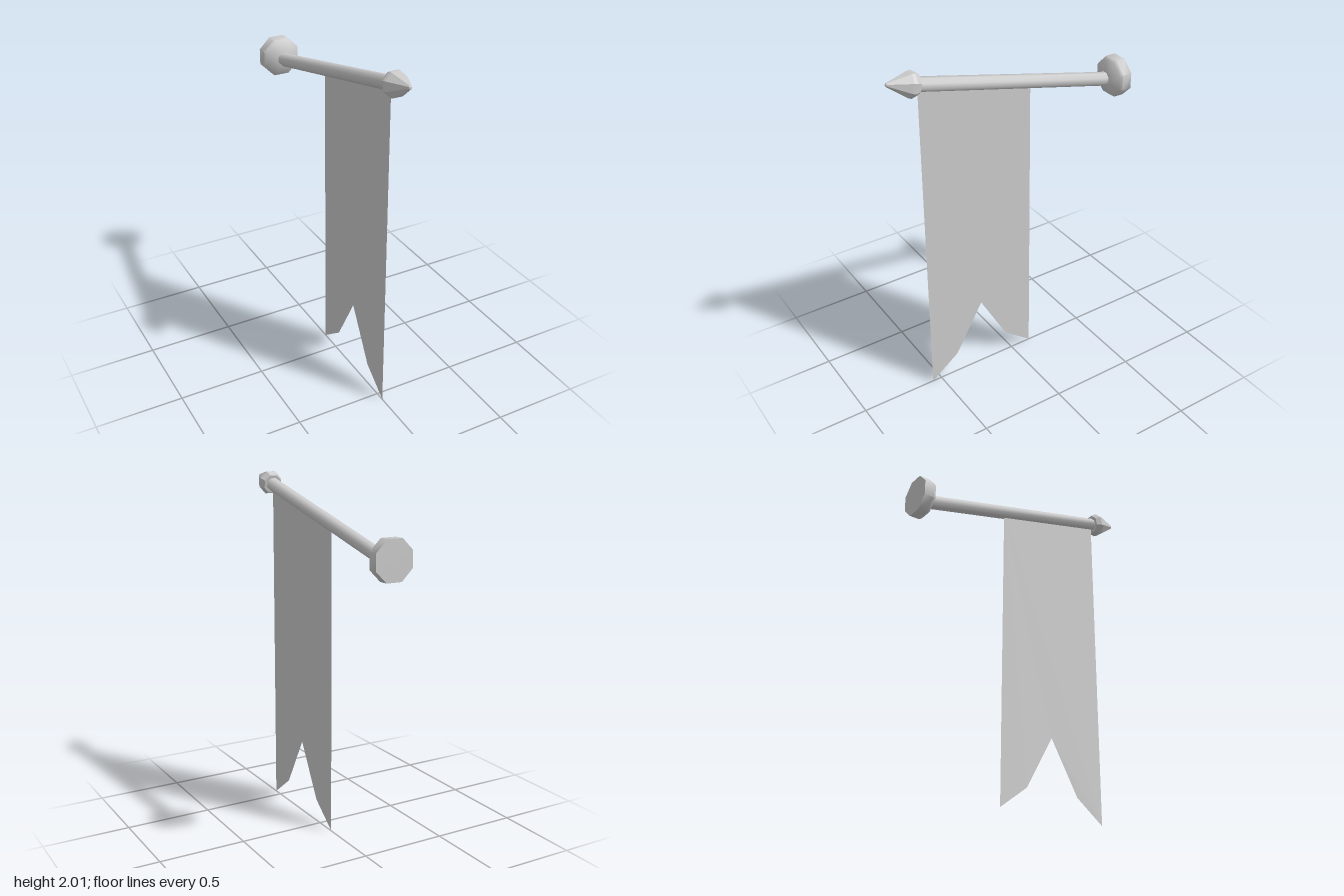
import * as THREE from 'three';
import { toCreasedNormals } from 'three/addons/utils/BufferGeometryUtils.js';

const SIDES = 8;
const SLOPE = 0.237;          // rise of the pole per unit of z
const BEND_Z = -0.605;        // where the pole turns upwards
const AXIS_Y = 1.66;          // height of the wall mount
const poleY = z => AXIS_Y + SLOPE * Math.max(0, z - BEND_Z);

// Octagonal turned form along +z; profile is [half width across flats, z]
function turned(profile) {
  const k = 1 / Math.cos(Math.PI / SIDES);
  const points = profile.map(([r, z]) => new THREE.Vector2(r * k, z));
  return new THREE.LatheGeometry(points, SIDES, Math.PI / SIDES).rotateX(Math.PI / 2);
}

export function createModel() {
  const group = new THREE.Group();
  const grey = new THREE.MeshStandardMaterial({ color: 0xcccccc });
  const faceted = new THREE.MeshStandardMaterial({ color: 0xcccccc, flatShading: true });
  const cloth = new THREE.MeshStandardMaterial({ color: 0xcccccc, side: THREE.DoubleSide });

  function add(name, geometry, material) {
    const mesh = new THREE.Mesh(geometry, material);
    mesh.name = name;
    group.add(mesh);
    return mesh;
  }

  // Wall mount: octagonal plate with a bevelled front
  const mount = turned([[0, -0.722], [0.108, -0.722], [0.108, -0.665], [0.098, -0.648], [0.036, -0.622], [0, -0.622]]);
  add('wallMount', toCreasedNormals(mount, 0.82), grey).position.y = AXIS_Y;

  // Pole: short level stub, then a straight rising shaft
  const pole = turned([[0.036, -0.64], [0.036, BEND_Z], [0.036, 0.57]]);
  const pos = pole.attributes.position;
  for (let i = 0; i < pos.count; i++) pos.setY(i, pos.getY(i) + poleY(pos.getZ(i)));
  add('pole', toCreasedNormals(pole, 0.82), grey);

  // Finial: faceted spear tip in line with the shaft
  const finial = add('finial', turned([[0, -0.03], [0.052, -0.03], [0.065, 0], [0.062, 0.018], [0.009, 0.138], [0, 0.142]]), faceted);
  finial.position.set(0, poleY(0.582), 0.582);
  finial.rotation.x = -Math.atan(SLOPE);

  // Banner: thin cloth with a swallowtail hem, drawn in (z, y)
  const outline = [
    [0.55, poleY(0.55)], [0.556, 0], [0.384, 0.132], [0.212, 0.44],
    [0.042, 0.132], [-0.13, 0], [-0.12, poleY(-0.12)],
  ].map(([z, y]) => new THREE.Vector2(z, y));
  add('banner', new THREE.ShapeGeometry(new THREE.Shape(outline)).rotateY(-Math.PI / 2), cloth);

  return group;
}
